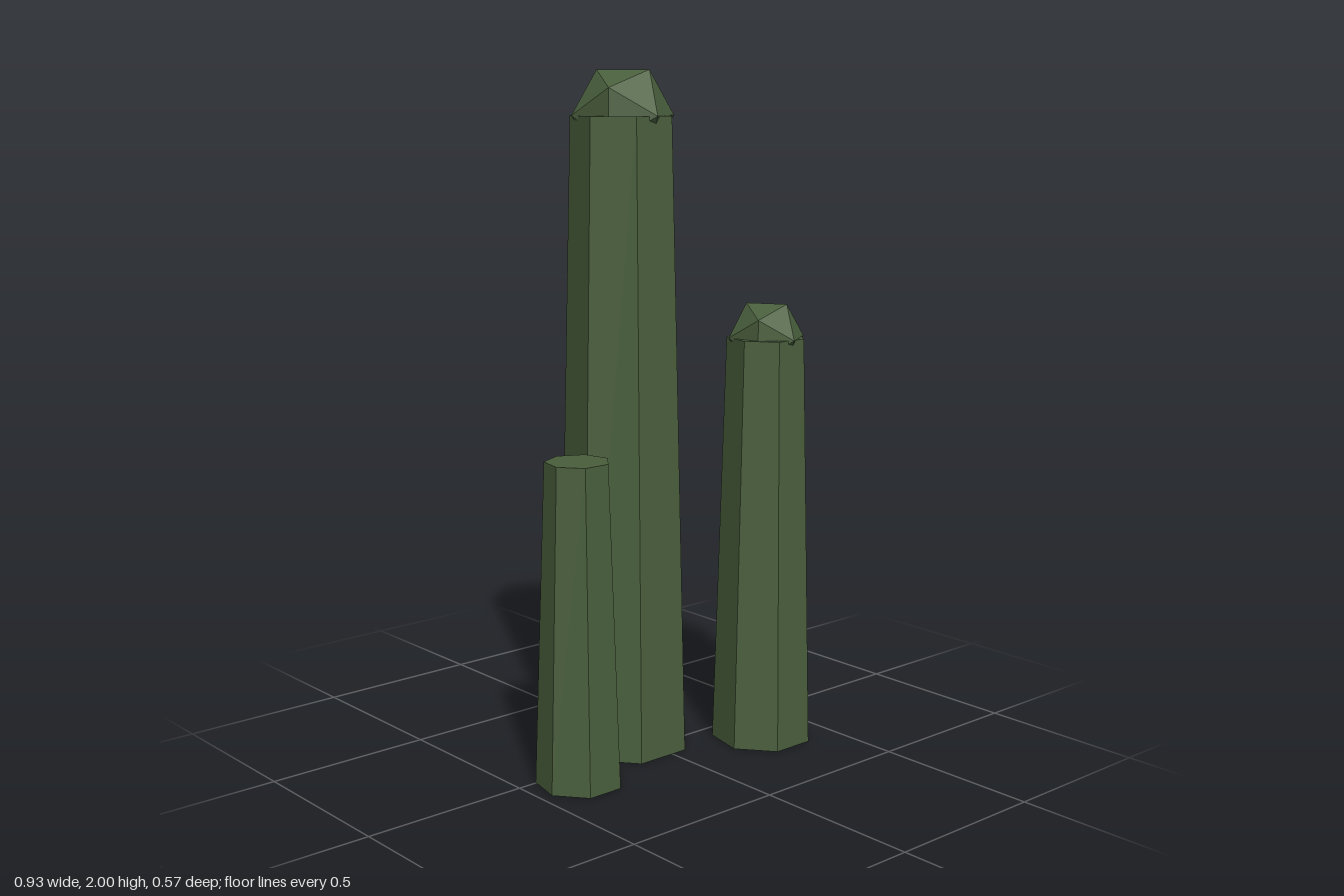
import * as THREE from 'three';

export function createModel() {
  const group = new THREE.Group();
  const green = new THREE.MeshStandardMaterial({ color: 0x4a5f3d, flatShading: true });
  green.name = 'dark green';

  // Tapered seven-sided column with a corner at the back, optionally topped by a faceted cap
  function addColumn(name, x, z, height, bottomRadius, topRadius, capRadius = 0) {
    const column = new THREE.Group();
    column.name = name;
    column.position.set(x, 0, z);

    const stem = new THREE.Mesh(new THREE.CylinderGeometry(topRadius, bottomRadius, height, 7), green);
    stem.name = name + 'Stem';
    stem.position.y = height / 2;
    stem.rotation.y = Math.PI;
    column.add(stem);

    if (capRadius > 0) {
      const cap = new THREE.Mesh(new THREE.IcosahedronGeometry(capRadius, 0), green);
      cap.name = name + 'Cap';
      cap.position.y = height;
      cap.rotation.y = -1.0172; // one corner faces straight forward
      column.add(cap);
    }
    group.add(column);
  }

  addColumn('tallColumn', -0.035, -0.088, 1.872, 0.197, 0.151, 0.15);
  addColumn('middleColumn', 0.314, 0.147, 1.23, 0.151, 0.1165, 0.115);
  addColumn('shortColumn', -0.34, 0.075, 0.937, 0.127, 0.0935);

  return group;
}
